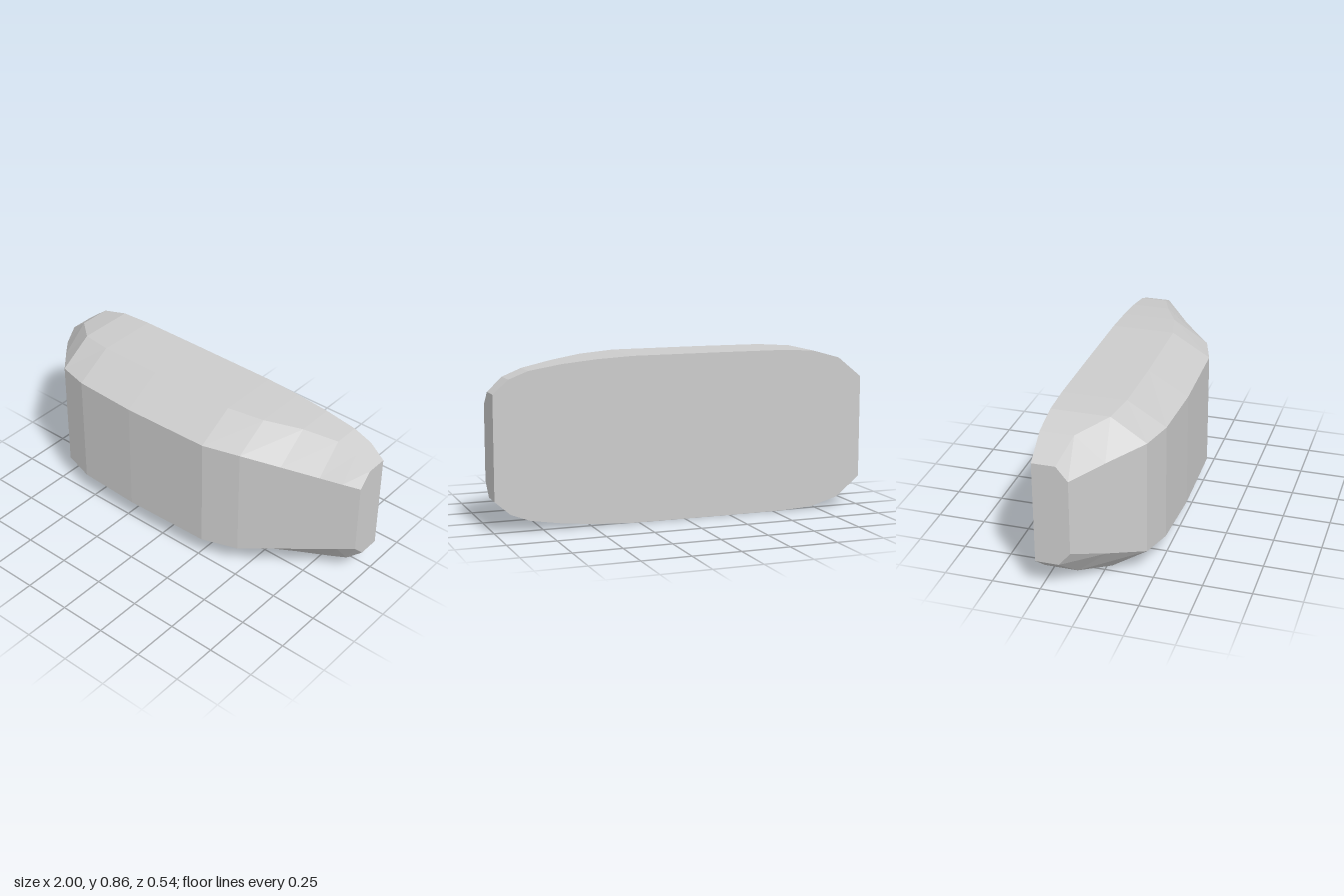
import * as THREE from 'three';

const MID = 0.4275; // mirror height
const BACK = -0.27; // flat back plane

// Stations along x: [x, outline half height, outline rim z, front half height, front z]
const STATIONS = [
  [-1, 0.27, -0.15, 0.197, -0.09],
  [-0.87, 0.375, -0.1, 0.249, 0.05],
  [-0.72, 0.417, 0.03, 0.3, 0.21],
  [-0.55, 0.4265, 0.06, 0.307, 0.257],
  [-0.2, 0.4275, 0.065, 0.307, 0.272],
  [0.28, 0.4265, 0.06, 0.307, 0.26],
  [0.47, 0.417, 0.015, 0.302, 0.2],
  [0.65, 0.4, -0.07, 0.265, 0.103],
  [0.82, 0.373, -0.13, 0.23, 0.012],
  [0.92, 0.335, -0.14, 0.209, -0.042],
  [1, 0.265, -0.155, 0.193, -0.085],
];

// Six-sided section: back, bevelled rim and front face, mirrored top to bottom
function section([x, h, rimZ, frontH, frontZ]) {
  const half = [[h, BACK], [h, rimZ], [frontH, frontZ]];
  return [
    ...half.map(([y, z]) => [x, MID - y, z]),
    ...half.reverse().map(([y, z]) => [x, MID + y, z]),
  ];
}

function loft(rings) {
  const n = rings[0].length;
  const index = [];
  for (let i = 0; i < rings.length - 1; i++) {
    for (let j = 0; j < n; j++) {
      const k = (j + 1) % n;
      const a = i * n + j, b = i * n + k, c = a + n, d = b + n;
      index.push(a, c, d, a, d, b);
    }
  }
  // Flat end caps
  const last = (rings.length - 1) * n;
  for (let j = 1; j < n - 1; j++) {
    index.push(0, j, j + 1);
    index.push(last, last + j + 1, last + j);
  }
  const geometry = new THREE.BufferGeometry();
  geometry.setAttribute('position', new THREE.Float32BufferAttribute(rings.flat(2), 3));
  geometry.setIndex(index);
  const flat = geometry.toNonIndexed();
  flat.computeVertexNormals();
  return flat;
}

export function createModel() {
  const group = new THREE.Group();
  const material = new THREE.MeshStandardMaterial({ color: 0xcccccc, flatShading: true });
  const body = new THREE.Mesh(loft(STATIONS.map(section)), material);
  body.name = 'bevelledBody';
  group.add(body);
  return group;
}
